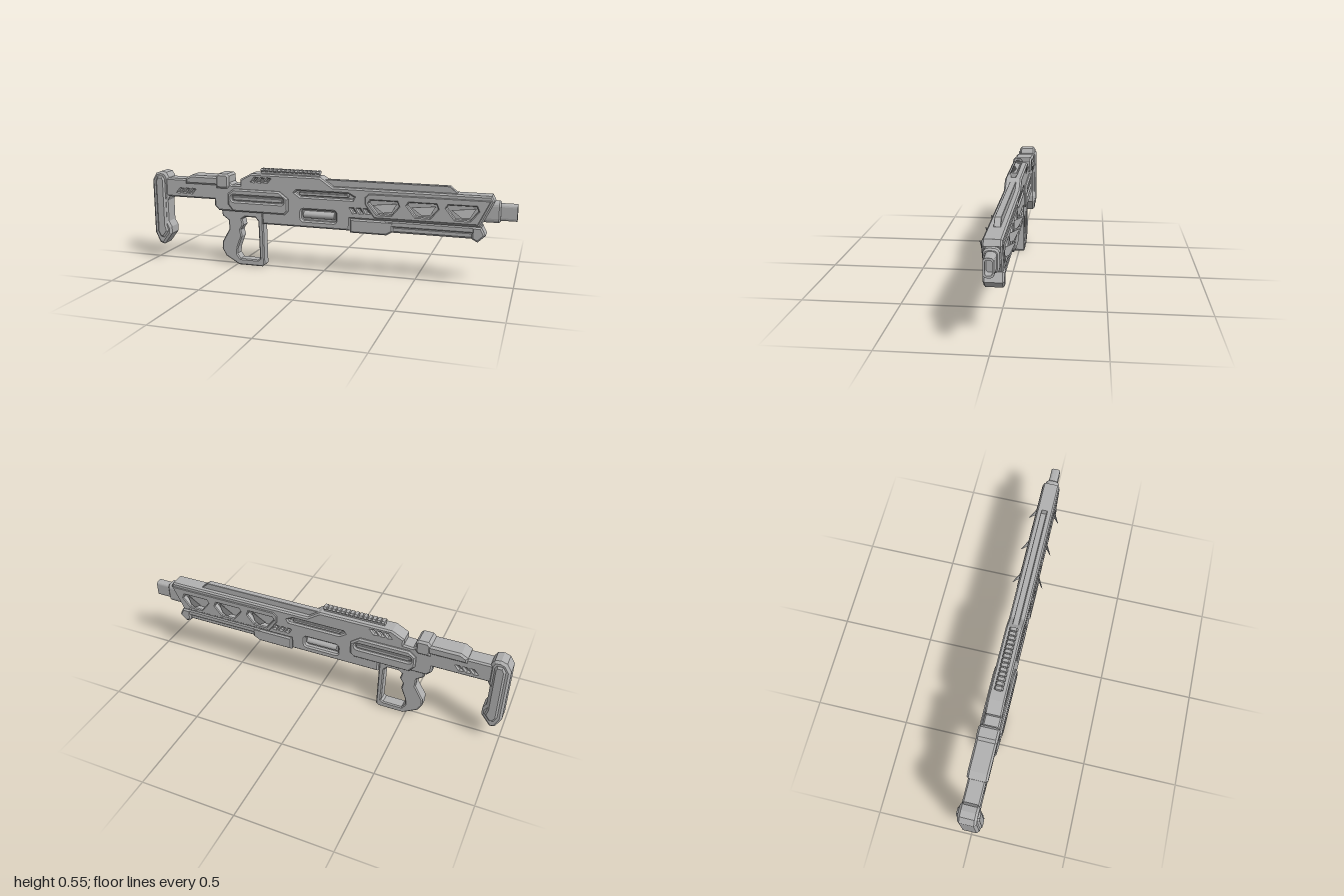
import * as THREE from 'three';

const grey = new THREE.MeshStandardMaterial({ color: 0xb0b0b0 });
grey.name = 'grey';

const path = (pts, Kind = THREE.Shape) => new Kind(pts.map(([x, y]) => new THREE.Vector2(x, y)));

// Opening in a shape, always wound counter-clockwise
function opening(pts) {
  const clockwise = THREE.ShapeUtils.isClockWise(path(pts).getPoints());
  return path(clockwise ? [...pts].reverse() : pts, THREE.Path);
}

// Chamfered slab with a side profile in x, y and a half thickness in z
function slabGeometry(pts, half, bevel = 0.008, holes = []) {
  const shape = path(pts);
  shape.holes = holes.map(opening);
  const depth = 2 * (half - bevel);
  const g = new THREE.ExtrudeGeometry(shape, {
    depth, bevelEnabled: bevel > 0, bevelThickness: bevel, bevelSize: bevel,
    bevelOffset: -bevel, bevelSegments: 1,
  });
  return g.translate(0, 0, -depth / 2);
}

// Slab with a cross-section in z, y that runs along x
function alongX(shape, x0, x1, bevel = 0) {
  const g = new THREE.ExtrudeGeometry(shape, {
    depth: x1 - x0 - 2 * bevel, bevelEnabled: bevel > 0, bevelThickness: bevel,
    bevelSize: bevel, bevelOffset: -bevel, bevelSegments: 1,
  });
  return g.translate(0, 0, x0 + bevel).rotateY(Math.PI / 2);
}

// Rounded rectangle outline as points
function rounded(cx, cy, hw, hh, r, n = 4) {
  const pts = [];
  [[1, 1], [-1, 1], [-1, -1], [1, -1]].forEach(([sx, sy], q) => {
    for (let i = 0; i <= n; i++) {
      const a = (q + i / n) * Math.PI / 2;
      pts.push([cx + sx * (hw - r) + r * Math.cos(a), cy + sy * (hh - r) + r * Math.sin(a)]);
    }
  });
  return pts;
}

// Three slanted vent openings in a row
const vents = (x, y, lean = 0.018) => [0, 1, 2].map((i) => {
  const a = x + i * 0.037;
  return [[a, y], [a + 0.012, y], [a + 0.012 + lean, y + 0.018], [a + lean, y + 0.018]];
});

const windowStarts = [0.255, 0.455, 0.655];

export function createModel() {
  const group = new THREE.Group();
  const add = (name, geometry) => {
    const m = new THREE.Mesh(geometry, grey);
    m.name = name;
    group.add(m);
  };
  const slab = (name, ...args) => add(name, slabGeometry(...args));

  // Main body shell with recesses
  const windows = windowStarts.map((x) => [
    [x, 0.4], [x + 0.01, 0.416], [x + 0.15, 0.416], [x + 0.16, 0.392],
    [x + 0.12, 0.343], [x + 0.045, 0.343],
  ]);
  const upperSlot = [[-0.15, 0.432], [-0.14, 0.441], [0.145, 0.441], [0.175, 0.425],
    [0.168, 0.412], [-0.12, 0.412]];
  slab('bodyShell', [
    [-0.62, 0.33], [-0.595, 0.305], [-0.34, 0.305], [-0.34, 0.245], [0.155, 0.245],
    [0.155, 0.31], [0.825, 0.31], [0.89, 0.445], [0.875, 0.472], [0.06, 0.472],
    [-0.01, 0.52], [-0.4, 0.52], [-0.465, 0.485], [-0.465, 0.455], [-0.53, 0.45], [-0.62, 0.38],
  ], 0.044, 0.008, [
    ...windows, upperSlot, rounded(-0.018, 0.312, 0.096, 0.03, 0.014),
    ...vents(-0.395, 0.478), ...vents(0.172, 0.346, -0.012),
  ]);
  slab('bodyCore', [
    [-0.5, 0.33], [-0.32, 0.26], [0.14, 0.26], [0.2, 0.33], [0.81, 0.33], [0.85, 0.45],
    [0.02, 0.46], [-0.02, 0.505], [-0.4, 0.505], [-0.45, 0.45],
  ], 0.018, 0.003);
  slab('upperSlotBar', rounded(0.01, 0.427, 0.135, 0.009, 0.007), 0.041, 0.003);

  // Raised plate around the windows
  slab('frontPlate', [
    [0.285, 0.322], [0.265, 0.35], [0.235, 0.392], [0.235, 0.43], [0.255, 0.45],
    [0.875, 0.45], [0.815, 0.322],
  ], 0.048, 0.005, windows);

  // Narrow ridge on top of the front part
  slab('topRidge', [
    [-0.02, 0.46], [-0.02, 0.506], [0.665, 0.506], [0.705, 0.473], [0.705, 0.46],
  ], 0.016, 0.002);

  // Port with a round bar inside
  add('portBar', new THREE.CylinderGeometry(0.023, 0.023, 0.17, 16)
    .rotateZ(Math.PI / 2).scale(1, 1, 1.75).translate(-0.018, 0.312, 0));

  // Wide rear side panel with a long slot and a bar in it
  slab('rearPanel', [
    [-0.535, 0.345], [-0.535, 0.405], [-0.5, 0.432], [-0.235, 0.432], [-0.185, 0.395],
    [-0.185, 0.328], [-0.205, 0.308], [-0.505, 0.308],
  ], 0.058, 0.008, [rounded(-0.362, 0.381, 0.15, 0.016, 0.014)]);
  slab('rearSlotBar', rounded(-0.362, 0.381, 0.144, 0.011, 0.01), 0.053, 0.003);

  // Angled flaps that open backwards from the windows, on both sides
  for (const x of windowStarts) {
    for (const side of [1, -1]) {
      const g = slabGeometry([
        [x + 0.03, 0.4], [x + 0.08, 0.355], [x + 0.12, 0.355], [x + 0.145, 0.4],
      ], 0.002, 0);
      const p = g.attributes.position;
      for (let i = 0; i < p.count; i++) {
        p.setZ(i, p.getZ(i) + side * (0.08 - 0.5 * (p.getX(i) - x - 0.03)));
      }
      g.computeVertexNormals();
      add(side > 0 ? 'frontSideFlap' : 'backSideFlap', g);
    }
  }

  // Handguard under the front part
  slab('handguardRear', [
    [0.155, 0.235], [0.35, 0.235], [0.385, 0.255], [0.385, 0.31], [0.155, 0.31],
  ], 0.047);
  slab('handguardBar', [[0.34, 0.28], [0.81, 0.28], [0.81, 0.312], [0.34, 0.312]], 0.045, 0.006);
  slab('handguardRod', [[0.34, 0.248], [0.81, 0.248], [0.81, 0.285], [0.34, 0.285]], 0.034, 0.01);
  slab('handguardNose', [
    [0.785, 0.25], [0.815, 0.234], [0.853, 0.27], [0.832, 0.312], [0.785, 0.312],
  ], 0.047);

  // Collar and hollow muzzle
  const collar = path(rounded(0, 0.39, 0.036, 0.055, 0.025));
  add('barrelCollar', alongX(collar, 0.82, 0.92, 0.008));
  const muzzle = path(rounded(0, 0.39, 0.024, 0.043, 0.016));
  muzzle.holes.push(opening(rounded(0, 0.39, 0.015, 0.033, 0.01)));
  add('muzzle', alongX(muzzle, 0.91, 1));
  add('muzzleCore', new THREE.BoxGeometry(0.06, 0.07, 0.034).translate(0.925, 0.39, 0));

  // Toothed rail on top
  add('railBase', new THREE.BoxGeometry(0.33, 0.02, 0.026).translate(-0.185, 0.525, 0));
  const tooth = path([[-0.012, 0.518], [0.012, 0.518], [0.012, 0.528], [0.022, 0.537],
    [0.015, 0.546], [-0.015, 0.546], [-0.022, 0.537], [-0.012, 0.528]]);
  for (let i = 0; i < 14; i++) {
    const x = -0.352 + i * 0.0242;
    add('railTooth', alongX(tooth, x, x + 0.017));
  }

  // Grip and hand guard loop
  slab('grip', [
    [-0.58, 0.275], [-0.585, 0.31], [-0.34, 0.31], [-0.335, 0.012], [-0.348, 0],
    [-0.487, 0], [-0.565, 0.045], [-0.588, 0.085], [-0.585, 0.125], [-0.542, 0.2], [-0.545, 0.25],
  ], 0.032, 0.006, [[
    [-0.464, 0.262], [-0.445, 0.275], [-0.385, 0.275], [-0.368, 0.255], [-0.362, 0.045],
    [-0.374, 0.035], [-0.478, 0.035], [-0.497, 0.062], [-0.492, 0.1], [-0.467, 0.165],
    [-0.474, 0.2], [-0.456, 0.228],
  ]]);

  // Arm of the stock with vents
  slab('stockArm', [
    [-0.92, 0.365], [-0.58, 0.365], [-0.5, 0.44], [-0.53, 0.465], [-0.78, 0.47], [-0.92, 0.47],
  ], 0.044, 0.008, vents(-0.842, 0.395));
  add('stockArmCore', new THREE.BoxGeometry(0.3, 0.08, 0.06).translate(-0.75, 0.417, 0));
  slab('cheekRest', [
    [-0.79, 0.445], [-0.79, 0.475], [-0.755, 0.495], [-0.59, 0.495], [-0.59, 0.445],
  ], 0.053, 0.01);
  slab('cheekRestLock', [
    [-0.605, 0.43], [-0.605, 0.495], [-0.59, 0.511], [-0.54, 0.511], [-0.528, 0.5],
    [-0.528, 0.445], [-0.54, 0.43],
  ], 0.054, 0.01);

  // Shoulder pad with a raised panel on each side
  slab('shoulderPad', [
    [-1, 0.15], [-1, 0.455], [-0.975, 0.495], [-0.945, 0.506], [-0.915, 0.5], [-0.9, 0.475],
    [-0.9, 0.36], [-0.912, 0.34], [-0.912, 0.22], [-0.895, 0.19], [-0.895, 0.15],
    [-0.945, 0.085], [-0.972, 0.092],
  ], 0.048, 0.012);
  slab('padPanel', [
    [-0.977, 0.16], [-0.977, 0.455], [-0.962, 0.48], [-0.93, 0.48], [-0.92, 0.46],
    [-0.92, 0.2], [-0.91, 0.165], [-0.94, 0.125], [-0.962, 0.13],
  ], 0.057, 0.01);

  return group;
}
